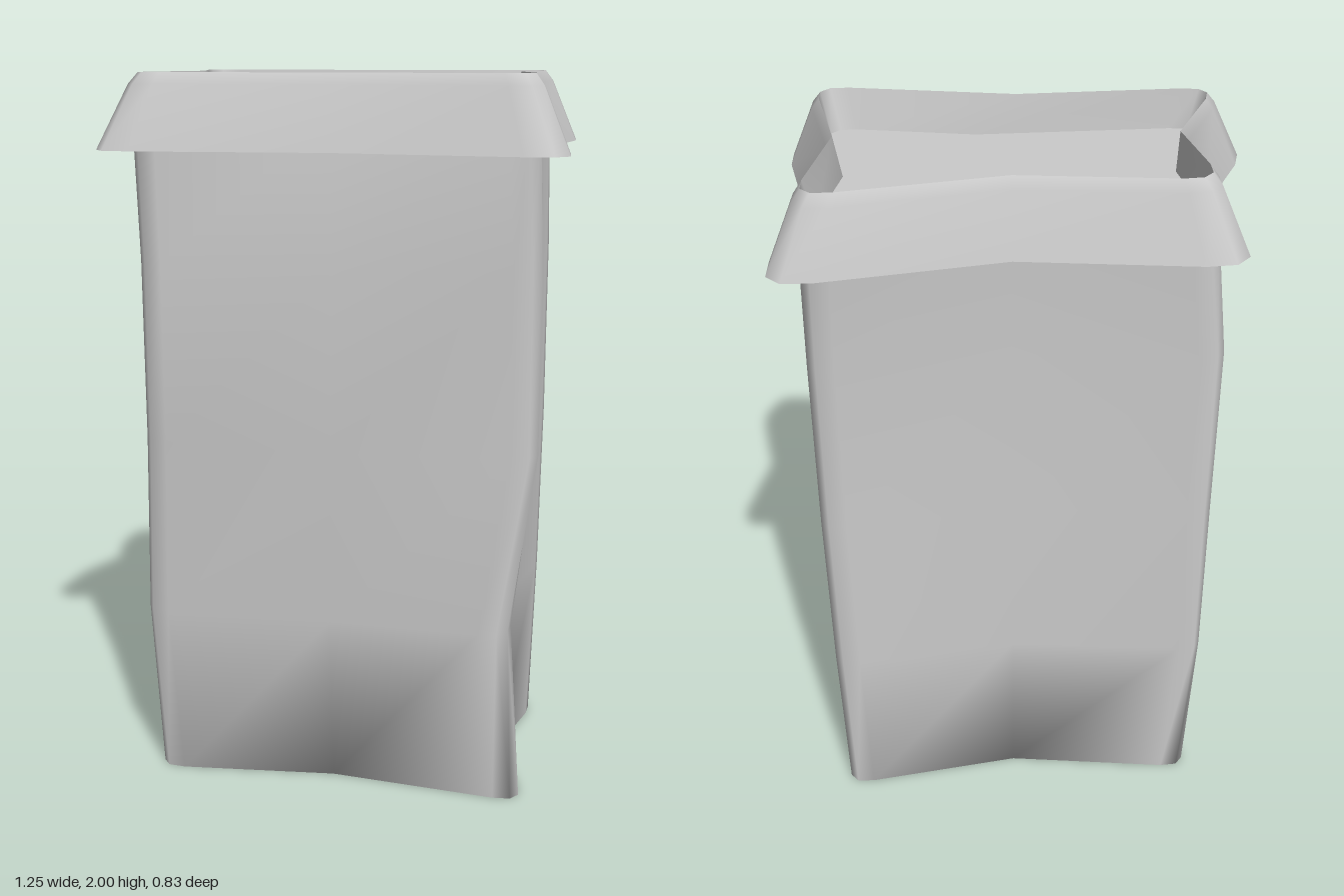
import * as THREE from 'three';

const material = new THREE.MeshStandardMaterial({ color: 0xcccccc, side: THREE.DoubleSide });

// Eight control points per outline: corners (even) are rounded, side middles (odd) stay pinched.
// Order: front +x corner, +x middle, back +x corner, back middle,
// back -x corner, -x middle, front -x corner, front middle.
function outline(y, r, pts) {
  const v = pts.map(([x, z]) => new THREE.Vector3(x, y, z));
  const ring = [];
  for (let i = 0; i < 8; i++) {
    if (i % 2) { ring.push(v[i]); continue; }
    const toward = (q) => v[i].clone().add(q.clone().sub(v[i]).setLength(r));
    const corner = new THREE.QuadraticBezierCurve3(toward(v[(i + 7) % 8]), v[i], toward(v[(i + 1) % 8]));
    ring.push(...corner.getPoints(3));
  }
  return ring;
}

// Triangles that fill a ring, facing up
function fill(ring) {
  return THREE.ShapeUtils.triangulateShape(ring.map((p) => new THREE.Vector2(p.x, -p.z)), []);
}

function smoothMesh(name, points, index) {
  const geometry = new THREE.BufferGeometry().setFromPoints(points);
  geometry.setIndex(index);
  geometry.computeVertexNormals();
  const mesh = new THREE.Mesh(geometry, material);
  mesh.name = name;
  return mesh;
}

// Skin a list of rings, optionally closing the first one from below
function loft(name, rings, closeBottom = false) {
  const n = rings[0].length;
  const index = [];
  for (let j = 0; j < rings.length - 1; j++) {
    for (let i = 0; i < n; i++) {
      const a = j * n + i, b = j * n + (i + 1) % n, c = b + n, d = a + n;
      index.push(a, b, c, a, c, d);
    }
  }
  if (closeBottom) for (const [a, b, c] of fill(rings[0])) index.push(a, c, b);
  return smoothMesh(name, rings.flat(), index);
}

export function createModel() {
  const group = new THREE.Group();
  group.name = 'dentedBin';

  // Dented body, one uneven outline at each level, running up inside the rim
  const levels = [
    outline(0, 0.095, [
      [0.563, 0.335], [0.465, 0], [0.563, -0.328], [0.03, -0.235],
      [-0.53, -0.292], [-0.425, 0], [-0.537, 0.298], [0, 0.26]]),
    outline(0.5, 0.095, [
      [0.512, 0.346], [0.48, 0], [0.575, -0.334], [0.03, -0.25],
      [-0.555, -0.3], [-0.395, 0], [-0.565, 0.313], [0, 0.32]]),
    outline(1.0, 0.095, [
      [0.588, 0.318], [0.485, 0], [0.58, -0.334], [0.03, -0.25],
      [-0.55, -0.298], [-0.42, 0], [-0.557, 0.302], [0.01, 0.352]]),
    outline(1.5, 0.095, [
      [0.582, 0.332], [0.487, 0], [0.577, -0.334], [0.03, -0.25],
      [-0.548, -0.298], [-0.43, 0], [-0.552, 0.312], [0.02, 0.38]]),
    outline(1.89, 0.095, [
      [0.564, 0.372], [0.485, 0], [0.564, -0.372], [0.03, -0.268],
      [-0.497, -0.312], [-0.42, 0], [-0.562, 0.322], [0, 0.288]]),
  ];
  group.add(loft('body', levels, true));

  // Flat top of the body, seen through the rim
  group.add(smoothMesh('recessedTop', levels[4], fill(levels[4]).flat()));

  // Flared rim, open underneath
  const skirt = outline(1.8, 0.145, [
    [0.651, 0.438], [0.56, 0], [0.651, -0.444], [0.03, -0.32],
    [-0.585, -0.38], [-0.495, 0], [-0.667, 0.38], [0, 0.345]]);
  const shoulder = outline(1.97, 0.11, [
    [0.573, 0.382], [0.492, 0], [0.573, -0.387], [0.03, -0.28],
    [-0.502, -0.325], [-0.43, 0], [-0.573, 0.331], [0, 0.297]]);
  const lip = outline(2.0, 0.095, [
    [0.547, 0.36], [0.475, 0], [0.547, -0.365], [0.03, -0.262],
    [-0.475, -0.306], [-0.41, 0], [-0.545, 0.311], [0, 0.28]]);
  const innerFoot = outline(1.89, 0.09, [
    [0.523, 0.335], [0.455, 0], [0.523, -0.34], [0.03, -0.245],
    [-0.453, -0.286], [-0.405, 0], [-0.514, 0.302], [0.11, 0.272]]);
  const rim = new THREE.Group();
  rim.name = 'rim';
  rim.add(
    loft('rimSkirt', [skirt, shoulder, lip]),
    loft('rimInnerWall', [lip, innerFoot]),
  );
  group.add(rim);
  return group;
}
